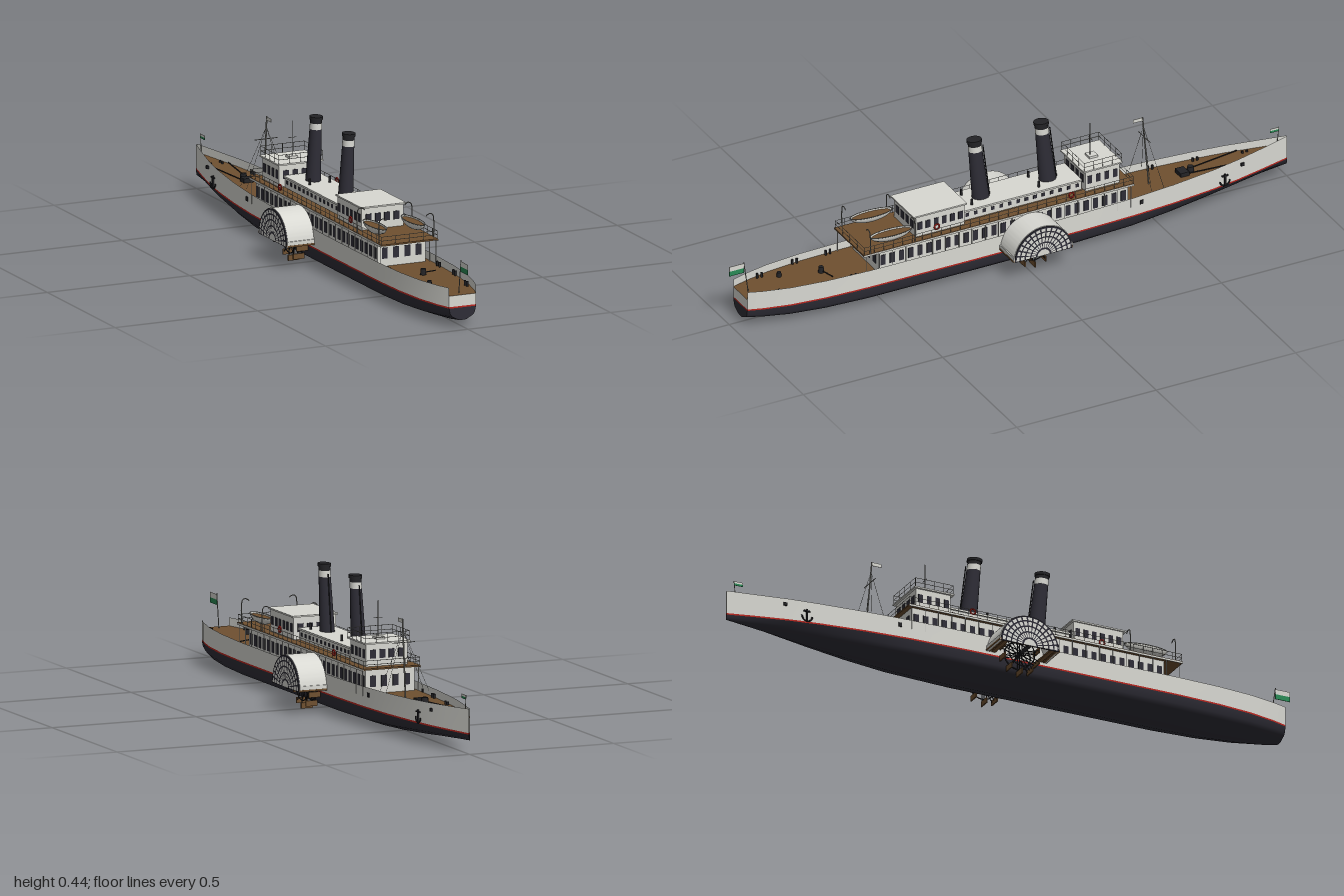
import * as THREE from 'three';
import { mergeGeometries, toCreasedNormals } from 'three/addons/utils/BufferGeometryUtils.js';

const paint = (name, color, side = THREE.FrontSide) => {
  const m = new THREE.MeshStandardMaterial({ color, side });
  m.name = name;
  return m;
};
const V = (x, y, z) => new THREE.Vector3(x, y, z);

// geometry helpers
const box = (w, h, d, x, y, z) => new THREE.BoxGeometry(w, h, d).translate(x, y, z);
const drum = (rt, rb, h, x, y, z, n = 10) => new THREE.CylinderGeometry(rt, rb, h, n).translate(x, y, z);
const rod = (a, b, r = 0.0013, n = 5) => {
  const d = b.clone().sub(a);
  const q = new THREE.Quaternion().setFromUnitVectors(V(0, 1, 0), d.clone().normalize());
  const mid = a.clone().add(b).multiplyScalar(0.5);
  return new THREE.CylinderGeometry(r, r, d.length(), n).applyQuaternion(q).translate(mid.x, mid.y, mid.z);
};
const loft = (rows) => {
  const cols = rows[0].length, idx = [];
  for (let i = 0; i < rows.length - 1; i++) for (let j = 0; j < cols - 1; j++) {
    const a = i * cols + j, c = a + cols;
    idx.push(a, a + 1, c, a + 1, c + 1, c);
  }
  const g = new THREE.BufferGeometry();
  g.setAttribute('position', new THREE.Float32BufferAttribute(rows.flat(2), 3));
  g.setIndex(idx);
  g.computeVertexNormals();
  return g;
};
const steps = (a, b, n) => Array.from({ length: n + 1 }, (_, i) => a + (b - a) * i / n);

export function createModel() {
  const white = paint('whitePaint', 0xd8d8d2), hullWhite = paint('hullWhite', 0xd8d8d2, THREE.DoubleSide);
  const dark = paint('darkPaint', 0x2e2d36), hullDark = paint('hullDark', 0x2e2d36, THREE.DoubleSide);
  const red = paint('redPaint', 0xb8261f, THREE.DoubleSide), brown = paint('deckWood', 0x6f5030);
  const iron = paint('ironBlack', 0x232326), grey = paint('railGrey', 0x85857f);
  const green = paint('flagGreen', 0x2a8a55, THREE.DoubleSide);
  const root = new THREE.Group();
  root.name = 'paddleSteamer';
  const part = (name, mat, geos) => {
    const m = new THREE.Mesh(Array.isArray(geos) ? mergeGeometries(geos) : geos, mat);
    m.name = name;
    root.add(m);
    return m;
  };

  // hull stations: z, half width, keel height, sheer height, fullness
  const stations = [
    [-1, 0.002, 0.045, 0.146, 0.1], [-0.9, 0.027, 0.037, 0.142, 0.15], [-0.8, 0.05, 0.029, 0.139, 0.3],
    [-0.7, 0.067, 0.02, 0.136, 0.45], [-0.55, 0.085, 0.009, 0.133, 0.7], [-0.4, 0.096, 0.002, 0.131, 0.9],
    [-0.2, 0.102, 0, 0.129, 1], [0.2, 0.103, 0, 0.127, 1], [0.55, 0.102, 0, 0.127, 1],
    [0.7, 0.096, 0.002, 0.128, 0.95], [0.82, 0.083, 0.008, 0.129, 0.9], [0.91, 0.063, 0.015, 0.13, 0.8],
    [0.96, 0.047, 0.022, 0.131, 0.75]];
  const section = ([z, w, k, top, f]) => {
    const mix = (a, b) => w * (a + (b - a) * f), up = (t) => k + (0.063 - k) * t;
    return [[0, k, z], [mix(0.12, 0.33), up(0.02), z], [mix(0.5, 0.88), up(0.33), z],
      [mix(0.75, 0.98), up(0.56), z], [w, 0.063, z], [w, 0.068, z], [w, top, z]];
  };
  const flip = (p) => p.map(([x, y, z]) => [-x, y, z]);
  const secs = stations.map(section);
  const sides = (a, b) => [1, -1].map((s) => loft(secs.map((p) => {
    const q = p.slice(a, b + 1);
    return s > 0 ? q : flip(q).reverse();
  })));
  part('lowerHull', hullDark, loft(secs.map((p) => [...flip(p.slice(1, 5)).reverse(), ...p.slice(0, 5)])));
  part('waterlineStripe', red, sides(4, 5));
  part('upperHull', hullWhite, sides(5, 6));
  part('mainDeck', brown, loft(stations.map(([z, w, , top]) => [[w, top - 0.027, z], [-w, top - 0.027, z]])));
  const transom = (pts) => new THREE.ShapeGeometry(new THREE.Shape(
    [...pts, ...flip(pts).reverse()].map(([x, y]) => new THREE.Vector2(x, y)))).translate(0, 0, 0.96);
  const end = secs[secs.length - 1];
  part('transomLower', hullDark, transom(end.slice(0, 5)));
  part('transomStripe', red, transom(end.slice(4, 6)));
  part('transomUpper', hullWhite, transom([end[5], [0.047, 0.104]]));

  // deckhouses: half width, bottom, top, aft z, fore z, window centre y, window height, side windows, end xs
  const windows = [];
  const house = (name, hw, y0, y1, za, zf, wy, wh, n, ww, xs) => {
    part(name, white, box(hw * 2, y1 - y0, za - zf, 0, (y0 + y1) / 2, (za + zf) / 2));
    const gap = (za - zf) / n;
    for (let i = 0; i < n; i++) for (const s of [1, -1])
      windows.push(box(0.003, wh, ww, s * hw, wy, zf + gap * (i + 0.5)));
    for (const x of xs) for (const z of [za, zf]) windows.push(box(0.02, wh, 0.003, x, wy, z));
  };
  house('mainDeckhouse', 0.085, 0.1, 0.181, 0.51, -0.385, 0.143, 0.036, 27, 0.018, [-0.059, -0.02, 0.02, 0.059]);
  house('engineCasing', 0.054, 0.186, 0.22, 0.19, -0.235, 0.205, 0.012, 14, 0.012, []);
  house('aftSaloon', 0.074, 0.186, 0.259, 0.37, 0.195, 0.224, 0.027, 6, 0.016, [-0.049, -0.016, 0.016, 0.049]);
  house('pilotHouse', 0.072, 0.186, 0.259, -0.24, -0.362, 0.226, 0.028, 4, 0.016, [-0.049, -0.016, 0.016, 0.049]);
  part('windows', dark, windows);
  part('houseRoofs', white, [box(0.12, 0.006, 0.425, 0, 0.222, -0.022),
    box(0.158, 0.005, 0.192, 0, 0.261, 0.284), box(0.158, 0.005, 0.14, 0, 0.261, -0.3),
    box(0.03, 0.008, 0.03, 0, 0.267, -0.3)]);
  part('promenadeDeck', brown, box(0.2, 0.005, 0.97, 0, 0.184, 0.085));
  part('deckFascia', white, [1, -1].map((s) => box(0.002, 0.006, 0.97, s * 0.1, 0.182, 0.085)));

  // posts under the promenade deck and railings
  const posts = [], rails = [];
  for (const s of [1, -1]) for (const z of steps(-0.39, 0.56, 20)) posts.push(rod(V(s * 0.097, 0.1, z), V(s * 0.097, 0.183, z), 0.0014));
  part('deckPosts', white, posts);
  const fence = (hw, y, h, za, zf, n) => {
    for (const s of [1, -1]) {
      for (const z of steps(zf, za, n)) rails.push(rod(V(s * hw, y, z), V(s * hw, y + h, z), 0.0009, 4));
      for (const t of [0.5, 1]) rails.push(rod(V(s * hw, y + h * t, zf), V(s * hw, y + h * t, za), 0.0009, 4));
    }
    for (const z of [za, zf]) {
      for (const t of [0.5, 1]) rails.push(rod(V(-hw, y + h * t, z), V(hw, y + h * t, z), 0.0009, 4));
      for (const x of steps(-hw, hw, 4)) rails.push(rod(V(x, y, z), V(x, y + h, z), 0.0009, 4));
    }
  };
  fence(0.098, 0.186, 0.026, 0.567, -0.398, 28);
  fence(0.077, 0.263, 0.03, -0.233, -0.367, 4);
  part('railings', grey, rails);

  // raked funnels
  for (const z of [0.098, -0.142]) {
    const tube = (name, mat, y0, y1, r0, r1) => {
      const at = (y) => V(0, y, z + (y - 0.225) * 0.11);
      const g = new THREE.CylinderGeometry(r1, r0, y1 - y0, 20);
      const p = g.attributes.position;
      for (let i = 0; i < p.count; i++) {
        const y = p.getY(i) + (y0 + y1) / 2;
        p.setXYZ(i, p.getX(i), y, p.getZ(i) * 1.25 + at(y).z);
      }
      part(name, mat, g);
    };
    tube('funnel', dark, 0.222, 0.398, 0.0235, 0.0185);
    tube('funnelBand', white, 0.398, 0.418, 0.0188, 0.0182);
    tube('funnelTop', iron, 0.418, 0.43, 0.0182, 0.0182);
    tube('funnelRim', iron, 0.43, 0.44, 0.0205, 0.0205);
    part('funnelPipes', iron, [rod(V(0, 0.225, z - 0.032), V(0, 0.41, z - 0.008), 0.002),
      ...[1, -1].map((s) => drum(0.004, 0.004, 0.02, s * 0.035, 0.235, z + 0.05))]);
  }

  // paddle boxes and wheels
  const cy = 0.077, cz = -0.022, R = 0.104;
  const arch = new THREE.Shape().absarc(0, 0, R, 0, Math.PI, false);
  arch.absarc(0, 0, R - 0.005, Math.PI, 0, true);
  for (const s of [1, -1]) {
    const shell = new THREE.ExtrudeGeometry(arch, { depth: 0.094, bevelEnabled: false, curveSegments: 28 })
      .rotateY(Math.PI / 2).translate(s > 0 ? 0.101 : -0.195, cy, cz);
    part('paddleBox', white, toCreasedNormals(shell, 0.5));
    const face = new THREE.ExtrudeGeometry(new THREE.Shape().absarc(0, 0, R - 0.002, 0, Math.PI, false),
      { depth: 0.005, bevelEnabled: false, curveSegments: 28 }).rotateY(Math.PI / 2);
    part('paddleBoxFace', dark, face.translate(s > 0 ? 0.194 : -0.199, cy, cz));
    const slats = [new THREE.CircleGeometry(0.022, 14, 0, Math.PI)];
    for (const [a, b] of [[0.028, 0.044], [0.049, 0.064], [0.069, 0.082], [0.087, 0.097]])
      for (let i = 0; i < 15; i++) slats.push(new THREE.RingGeometry(a, b, 2, 1, i * Math.PI / 15 + 0.03, Math.PI / 15 - 0.06));
    part('fanSlats', white, slats.map((g) => g.rotateY(s * Math.PI / 2).translate(s * 0.1996, cy, cz)));
    part('sponsonGuard', white, [1, -1].map((e) => box(0.096, 0.018, 0.004, s * 0.149, 0.086, cz + e * R)));
    part('sponsonBeams', brown, [box(0.005, 0.008, 2 * R, s * 0.196, 0.081, cz),
      ...[-0.1, -0.082, 0.082, 0.1].map((d) => box(0.094, 0.006, 0.014, s * 0.149, 0.08, cz + d))]);

    const iy = 0.077, frame = [rod(V(s * 0.1, iy, cz), V(s * 0.195, iy, cz), 0.006, 8)], floats = [];
    for (const x of [0.109, 0.141]) frame.push(new THREE.TorusGeometry(0.046, 0.002, 5, 24).rotateY(Math.PI / 2).translate(s * x, iy, cz));
    for (let i = 0; i < 10; i++) {
      const a = -Math.PI / 2 + i * Math.PI / 5, y = iy + 0.063 * Math.sin(a), z = cz + 0.063 * Math.cos(a);
      for (const x of [0.109, 0.125, 0.141]) frame.push(rod(V(s * x, iy, cz), V(s * x, y, z), 0.0016));
      floats.push(box(0.04, 0.018, 0.004, s * 0.125, y, z));
    }
    part('paddleWheelFrame', iron, frame);
    part('paddleFloats', brown, floats);

    // lifeboats, davits and lifebuoys
    part('lifeboat', hullWhite, new THREE.SphereGeometry(1, 14, 6, 0, Math.PI * 2, Math.PI / 2, Math.PI / 2)
      .scale(0.023, 0.027, 0.075).translate(s * 0.067, 0.224, 0.455));
    part('lifeboatInside', brown, new THREE.CircleGeometry(1, 18).rotateX(-Math.PI / 2)
      .scale(0.02, 1, 0.07).translate(s * 0.067, 0.22, 0.455));
    part('lifeboatGunwale', grey, new THREE.TorusGeometry(1, 0.03, 4, 20).rotateX(Math.PI / 2)
      .scale(0.023, 0.05, 0.075).translate(s * 0.067, 0.224, 0.455));
    part('davits', grey, [0.385, 0.545].map((z) => new THREE.TubeGeometry(new THREE.CatmullRomCurve3(
      [[0.096, 0.186], [0.096, 0.245], [0.092, 0.262], [0.08, 0.265], [0.07, 0.258]].map(([x, y]) => V(s * x, y, z))), 14, 0.0018, 5)));
    part('lifebuoys', red, [[0.076, 0.295], [0.1, -0.175]].map(([x, z]) =>
      new THREE.TorusGeometry(0.009, 0.0028, 6, 14).rotateY(Math.PI / 2).translate(s * x, 0.205, z)));

    // hull anchor
    const ax = s * 0.0645;
    part('anchor', iron, [box(0.006, 0.04, 0.005, ax, 0.088, -0.745), box(0.006, 0.004, 0.022, ax, 0.102, -0.745),
      new THREE.TorusGeometry(0.018, 0.0028, 5, 12, Math.PI).rotateZ(Math.PI).rotateY(Math.PI / 2).translate(ax, 0.085, -0.745),
      box(0.006, 0.01, 0.012, s * 0.051, 0.118, -0.815), box(0.004, 0.014, 0.012, s * 0.0945, 0.108, -0.43)]);
  }

  // deck fittings
  const gear = [box(0.04, 0.014, 0.03, 0, 0.116, -0.625), drum(0.01, 0.012, 0.02, 0, 0.12, -0.655),
    drum(0.008, 0.01, 0.02, 0, 0.113, 0.67), rod(V(0, 0.11, 0.67), V(0.05, 0.108, 0.655), 0.002),
    drum(0.007, 0.008, 0.016, -0.04, 0.11, 0.8)];
  for (const s of [1, -1]) {
    gear.push(rod(V(s * 0.012, 0.113, -0.64), V(s * 0.036, 0.118, -0.84), 0.002));
    for (const [x, z] of [[0.02, -0.86], [0.055, -0.7], [0.076, -0.55], [0.087, 0.6], [0.085, 0.72], [0.06, 0.86]])
      gear.push(drum(0.004, 0.004, 0.016, s * x, 0.112, z - 0.008, 8), drum(0.004, 0.004, 0.016, s * x, 0.112, z + 0.008, 8));
  }
  part('deckFittings', iron, gear);

  // masts, shrouds and flagstaffs
  const head = V(0, 0.355, -0.483);
  part('foremast', grey, [rod(V(0, 0.105, -0.505), head, 0.0025, 6), rod(V(-0.04, 0.28, -0.49), V(0.04, 0.28, -0.49), 0.0014),
    rod(V(0, 0.263, -0.295), V(0, 0.385, -0.295), 0.0015), rod(V(-0.015, 0.33, -0.295), V(0.015, 0.33, -0.295), 0.001),
    rod(V(0, 0.104, 0.932), V(0, 0.214, 0.948), 0.0016), rod(V(0, 0.118, -0.965), V(0, 0.187, -0.972), 0.0013)]);
  const shrouds = [];
  for (const s of [1, -1]) for (const z of [-0.475, -0.52]) shrouds.push(rod(V(s * 0.075, 0.125, z), V(0, 0.32, -0.486), 0.0007, 3));
  part('shrouds', grey, shrouds);
  const flag = (y, z, h, l) => {
    part('flagUpper', white, box(0.0015, h * 0.5, l, 0, y + h * 0.25, z + l / 2));
    part('flagLower', green, box(0.0015, h * 0.5, l, 0, y - h * 0.25, z + l / 2));
  };
  flag(0.193, 0.947, 0.034, 0.053);
  flag(0.179, -0.97, 0.014, 0.03);
  part('mastPennant', white, box(0.0015, 0.012, 0.034, 0, 0.348, -0.466));
  return root;
}
